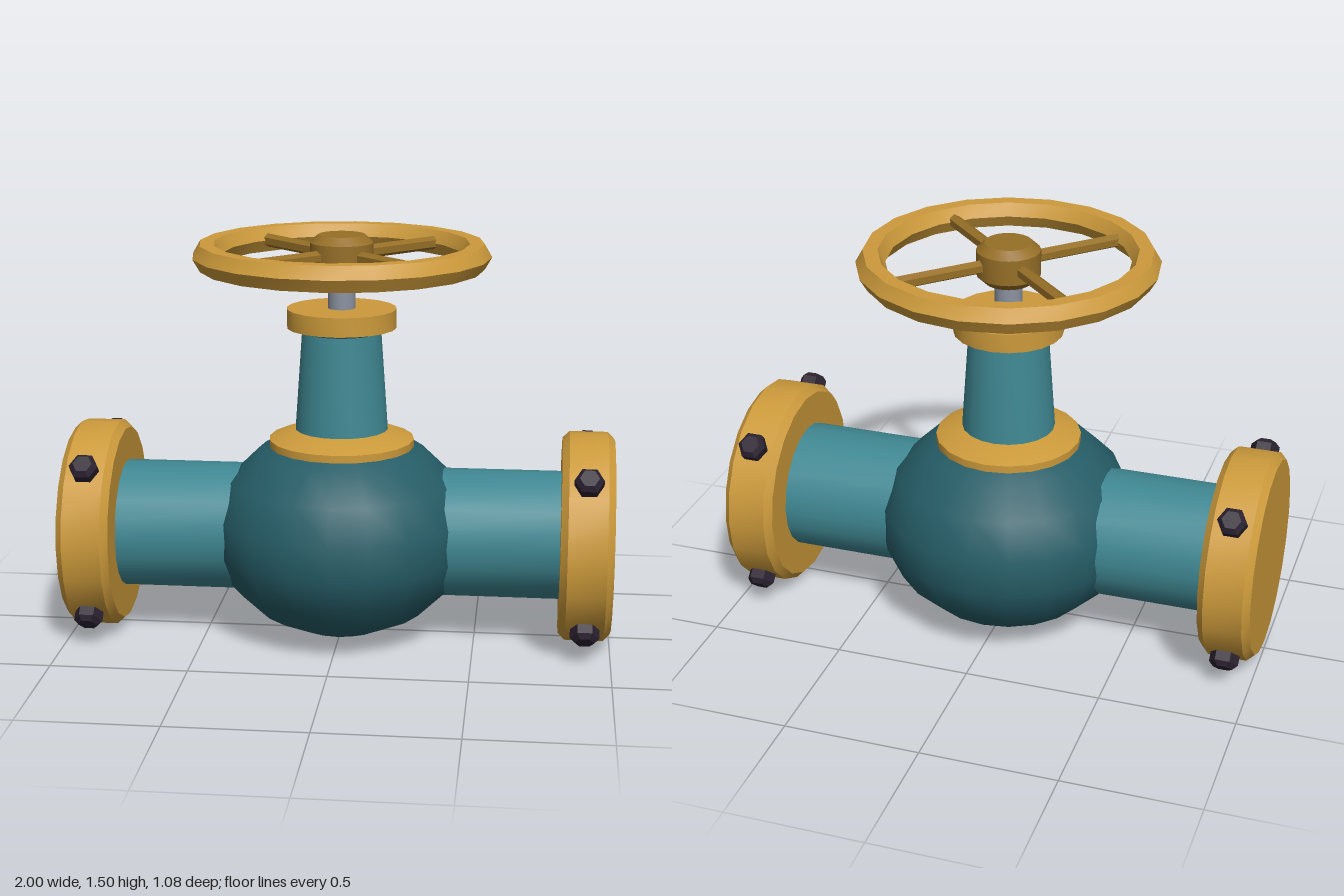
import * as THREE from 'three';
import { toCreasedNormals } from 'three/addons/utils/BufferGeometryUtils.js';

const material = (name, color) => {
  const m = new THREE.MeshStandardMaterial({ color });
  m.name = name;
  return m;
};

// Turned part about the y axis, from [radius, height] points listed bottom to top
function turned(points, sides = 20) {
  const profile = points.map(([r, y]) => new THREE.Vector2(r, y));
  return toCreasedNormals(new THREE.LatheGeometry(profile, sides), 0.5);
}

export function createModel() {
  const model = new THREE.Group();
  model.name = 'globeValve';
  const bodyTeal = material('dark teal', 0x265d67);
  const teal = material('teal', 0x3f8792);
  const gold = material('gold', 0xcc9a3b);
  const darkGold = material('dark gold', 0x966f27);
  const steel = material('steel', 0x8b93a1);
  const boltColor = material('bolt black', 0x2b2130);
  const axisY = 0.395;

  const add = (name, geometry, mat, parent = model) => {
    const mesh = new THREE.Mesh(geometry, mat);
    mesh.name = name;
    parent.add(mesh);
    return mesh;
  };

  // Squashed round body
  const bodyGeometry = new THREE.SphereGeometry(0.48, 20, 9);
  bodyGeometry.scale(1, 0.395 / 0.48, 1);
  add('body', bodyGeometry, bodyTeal).position.y = axisY;

  // Pipe ends with flanges and radial bolts
  const pipeGeometry = turned([[0, 0.2], [0.236, 0.2], [0.236, 0.83], [0, 0.83]]);
  const flangeGeometry = turned([
    [0, 0.81], [0.36, 0.81], [0.385, 0.835], [0.385, 0.975], [0.36, 1], [0, 1],
  ]);
  const boltGeometry = turned([[0, 0.36], [0.053, 0.36], [0.053, 0.415], [0.035, 0.433], [0, 0.433]], 6);
  for (const side of [1, -1]) {
    const end = new THREE.Group();
    end.name = side > 0 ? 'leftPipeEnd' : 'rightPipeEnd';
    end.position.y = axisY;
    end.rotation.z = -side * Math.PI / 2;
    model.add(end);
    add('pipe', pipeGeometry, teal, end);
    add('flange', flangeGeometry, gold, end);
    for (let i = 0; i < 4; i++) {
      const mount = new THREE.Group();
      mount.name = 'boltMount';
      mount.position.y = 0.905;
      mount.rotation.y = Math.PI / 4 + i * Math.PI / 2;
      end.add(mount);
      add('bolt', boltGeometry, boltColor, mount).rotation.x = Math.PI / 2;
    }
  }

  // Bonnet: base collar, tapered neck with flared lip, top collar
  add('bonnetCollar', turned([[0, 0.7], [0.267, 0.7], [0.267, 0.745], [0.17, 0.782], [0, 0.782]]), gold);
  add('neck', turned([[0.172, 0.76], [0.145, 1.145], [0.197, 1.161], [0, 1.161]]), teal);
  add('topCollar', turned([[0, 1.16], [0.2, 1.16], [0.2, 1.23], [0, 1.23]]), gold);
  add('stem', turned([[0, 1.2], [0.05, 1.2], [0.05, 1.4], [0, 1.4]], 16), steel);

  // Handwheel: six-sided rim, hub and four diagonal spokes
  const wheel = new THREE.Group();
  wheel.name = 'handwheel';
  wheel.position.y = 1.424;
  model.add(wheel);
  const rimGeometry = toCreasedNormals(new THREE.TorusGeometry(0.488, 0.053, 6, 20), 0.5);
  add('rim', rimGeometry, gold, wheel).rotation.x = Math.PI / 2;
  add('hub', turned([
    [0, -0.074], [0.085, -0.074], [0.115, -0.046], [0.115, 0.046], [0.085, 0.074], [0, 0.074],
  ]), darkGold, wheel);
  const spokeGeometry = turned([[0.025, 0.07], [0.025, 0.46]], 6);
  for (let i = 0; i < 4; i++) {
    const spoke = add('spoke', spokeGeometry, darkGold, wheel);
    spoke.rotation.set(Math.PI / 2, 0, 0);
    spoke.rotation.order = 'YXZ';
    spoke.rotation.y = Math.PI / 4 + i * Math.PI / 2;
  }
  return model;
}
